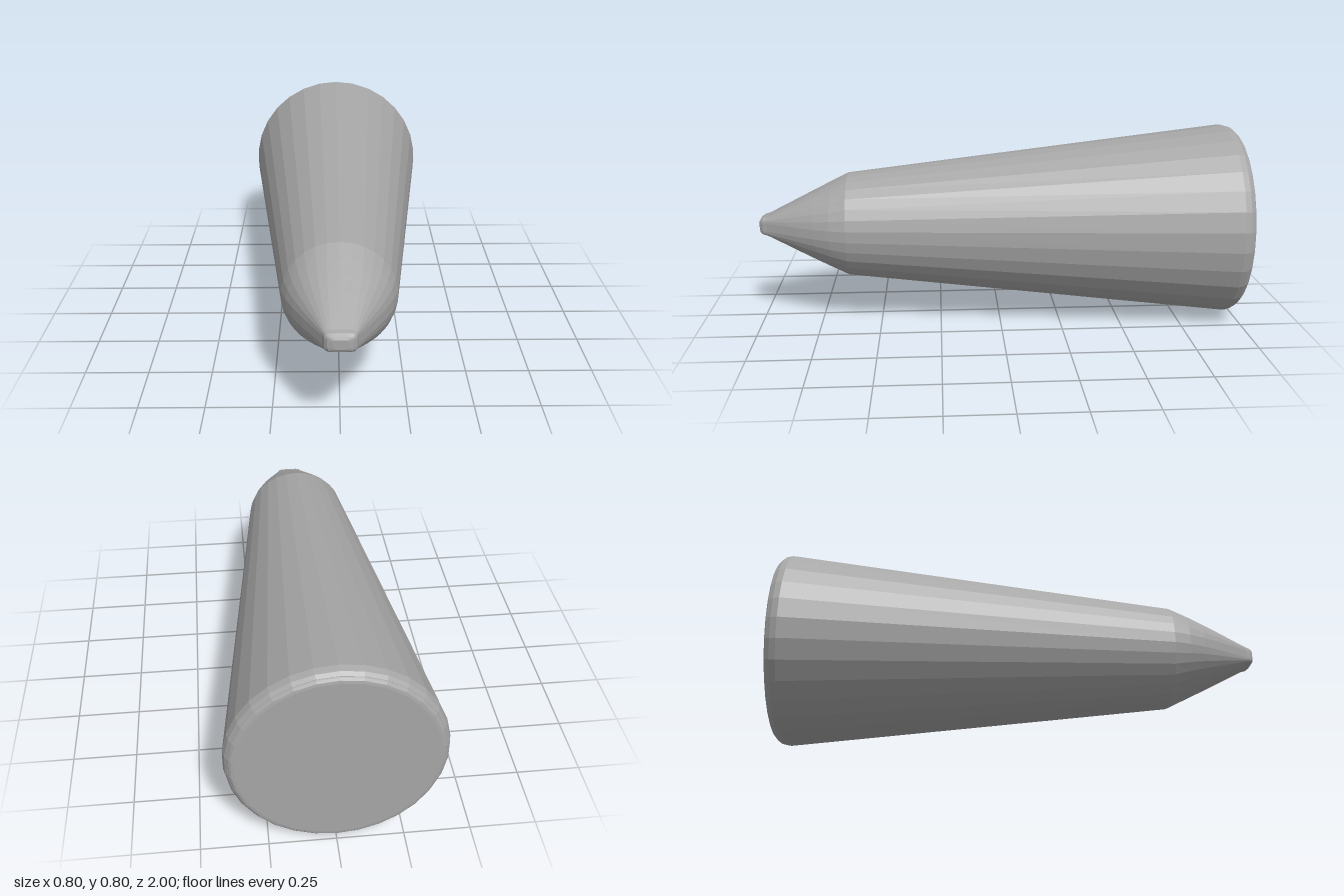
import * as THREE from 'three';

const SIDES = 30;
const CENTRE_Y = 0.4;

// One cross-section: a circle for power 1, a rounded rectangle for small powers
function ring(z, halfW, halfH, power = 1, lift = 0) {
  const points = [];
  for (let i = 0; i < SIDES; i++) {
    const a = Math.PI / 2 + (i / SIDES) * Math.PI * 2;
    const bend = (v) => Math.sign(v) * Math.pow(Math.abs(v), power);
    points.push([halfW * bend(Math.cos(a)), lift + halfH * bend(Math.sin(a)), z]);
  }
  return points;
}

// Skin between rings listed from back to front, with optional end caps
function loft(rings, capBack, capFront) {
  const pos = rings.flat(2);
  const index = [];
  for (let r = 0; r < rings.length - 1; r++) {
    for (let i = 0; i < SIDES; i++) {
      const j = (i + 1) % SIDES;
      const a = r * SIDES + i, b = r * SIDES + j;
      index.push(a, b, b + SIDES, a, b + SIDES, a + SIDES);
    }
  }
  const cap = (r, front) => {
    const c = pos.length / 3;
    pos.push(0, front ? rings[r][0][1] / 2 + rings[r][SIDES / 2][1] / 2 : 0, rings[r][0][2]);
    for (let i = 0; i < SIDES; i++) {
      const a = r * SIDES + i, b = r * SIDES + (i + 1) % SIDES;
      index.push(c, front ? a : b, front ? b : a);
    }
  };
  if (capBack) cap(0, false);
  if (capFront) cap(rings.length - 1, true);
  const geo = new THREE.BufferGeometry();
  geo.setAttribute('position', new THREE.Float32BufferAttribute(pos, 3));
  geo.setIndex(index);
  const flat = geo.toNonIndexed();
  flat.computeVertexNormals();
  return flat;
}

export function createModel() {
  const group = new THREE.Group();
  const grey = new THREE.MeshStandardMaterial({ color: 0xa6a6a6 });
  grey.name = 'grey';
  const add = (name, geo) => {
    const mesh = new THREE.Mesh(geo, grey);
    mesh.name = name;
    mesh.position.y = CENTRE_Y;
    group.add(mesh);
  };
  const circles = (list) => list.map(([z, r]) => ring(z, r, r));

  // Tapered body with a rounded rear rim
  add('body', loft(circles([
    [-0.988, 0.384], [-0.975, 0.394], [-0.95, 0.4], [0.63, 0.216],
  ]), true, false));

  // Rear plate, rounded at its edge
  add('rearCap', loft(circles([
    [-1, 0.362], [-0.998, 0.373], [-0.992, 0.381], [-0.988, 0.383],
  ]), true, false));

  // Nose blending from the round body to a blunt rounded-rectangle tip
  const start = ring(0.63, 0.216, 0.216);
  const end = ring(0.965, 0.062, 0.04, 0.4, 0.004);
  const rings = [];
  const STEPS = 5;
  for (let s = 0; s <= STEPS; s++) {
    const t = s / STEPS;
    const bulge = 1 + 0.4 * t * (1 - t);
    rings.push(start.map((p, i) => [
      THREE.MathUtils.lerp(p[0], end[i][0], t) * bulge,
      THREE.MathUtils.lerp(p[1], end[i][1], t),
      THREE.MathUtils.lerp(p[2], end[i][2], t),
    ]));
  }
  rings.push(
    ring(0.983, 0.056, 0.036, 0.4, 0.004),
    ring(0.995, 0.045, 0.028, 0.4, 0.004),
    ring(1, 0.028, 0.018, 0.4, 0.004),
  );
  add('nose', loft(rings, false, true));

  return group;
}
